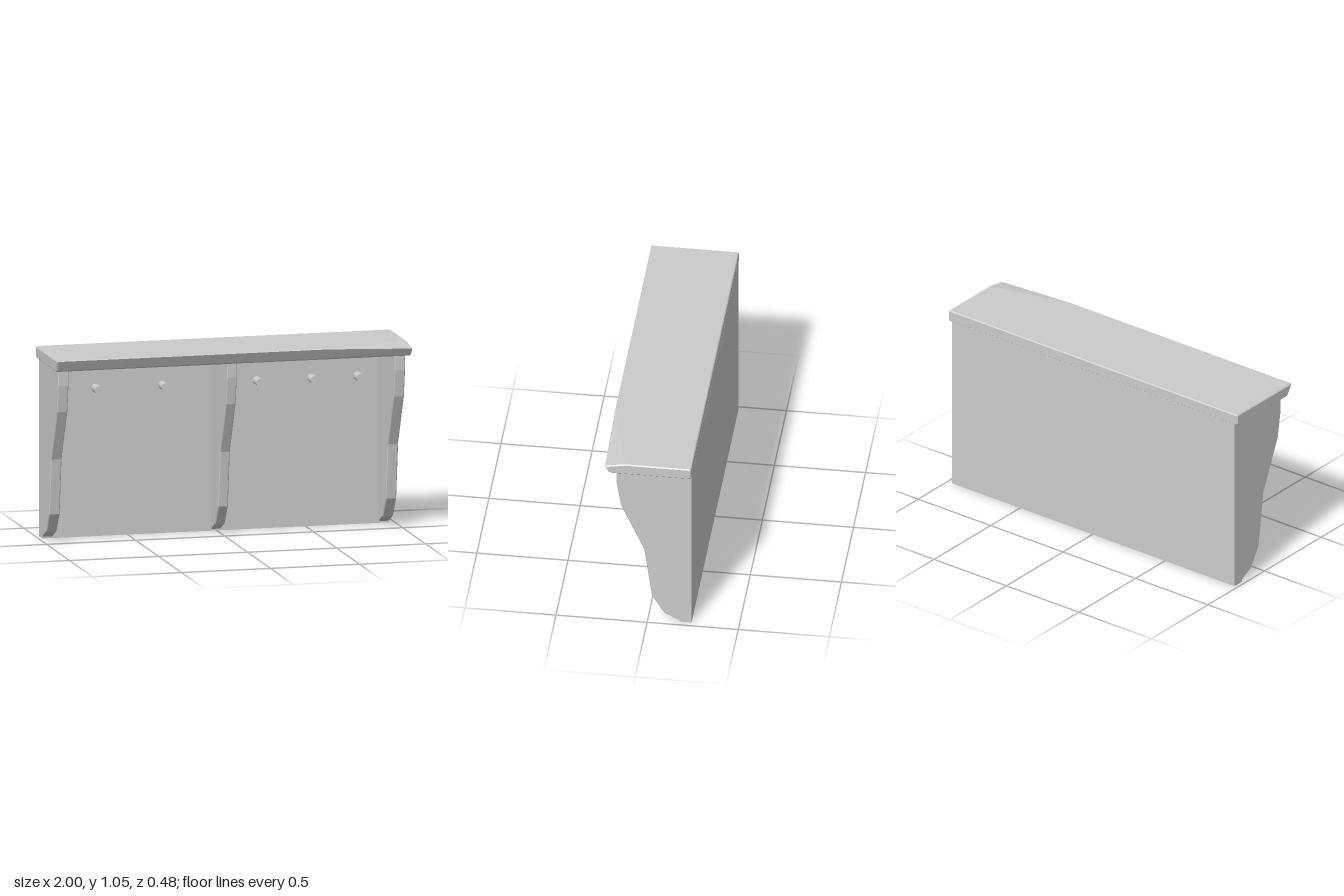
import * as THREE from 'three';

const material = new THREE.MeshStandardMaterial({ color: 0xcccccc, flatShading: true });

function addMesh(group, name, geometry, x = 0, y = 0, z = 0) {
  const mesh = new THREE.Mesh(geometry, material);
  mesh.name = name;
  mesh.position.set(x, y, z);
  group.add(mesh);
  return mesh;
}

// Side support: a bevelled extrusion of the stepped profile, given as [z, y]
function bracketGeometry(width) {
  const outline = [
    [-0.182, 0.01], [-0.172, 0.01], [-0.09, 0.05], [-0.022, 0.16], [0.02, 0.47],
    [0.147, 0.755], [0.172, 0.905], [0.172, 0.995], [-0.182, 0.995],
  ];
  const shape = new THREE.Shape(outline.map(([z, y]) => new THREE.Vector2(z, y)));
  const bevel = 0.005;
  const geometry = new THREE.ExtrudeGeometry(shape, {
    depth: width - 2 * bevel, bevelThickness: bevel, bevelSize: bevel,
    bevelOffset: -bevel, bevelSegments: 1,
  });
  geometry.translate(0, 0, -width / 2 + bevel);
  return geometry.rotateY(-Math.PI / 2);
}

// Shelf board: cross-sections along x, with a worn front corner on the left end
function shelfGeometry() {
  const profile = [
    [-0.24, 0.997], [-0.233, 0.99], [0.205, 0.99], [0.212, 0.997],
    [0.24, 1.051], [0.237, 1.055], [0.12, 1.055], [-0.235, 1.055], [-0.24, 1.05],
  ];
  const n = profile.length;
  // Each section: x, end inset, drop of the front top edge
  const sections = [
    [-1, 0.006, 0], [-0.994, 0, 0], [0.52, 0, 0], [0.989, 0, 0.018], [0.995, 0.006, 0.018],
  ];
  const positions = [];
  const index = [];
  for (const [x, inset, drop] of sections) {
    profile.forEach(([z, y], i) => {
      const worn = i === 4 || i === 5;
      const yy = y - (worn ? drop : 0);
      const zz = z - (worn ? drop * 0.45 : 0);
      positions.push(x, yy + (yy < 1.02 ? inset : -inset), zz + (zz < 0 ? inset : i === 6 ? 0 : -inset));
    });
  }
  for (let s = 0; s < sections.length - 1; s++) {
    for (let i = 0; i < n; i++) {
      const a = s * n + i;
      const b = s * n + (i + 1) % n;
      const c = b + n;
      const d = a + n;
      index.push(a, c, b, a, d, c);
    }
  }
  // End caps
  const last = (sections.length - 1) * n;
  const contour = profile.map((_, i) => new THREE.Vector2(positions[(last + i) * 3 + 2], positions[(last + i) * 3 + 1]));
  for (const [a, b, c] of THREE.ShapeUtils.triangulateShape(contour, [])) {
    index.push(a, b, c, last + a, last + c, last + b);
  }
  const geometry = new THREE.BufferGeometry();
  geometry.setAttribute('position', new THREE.Float32BufferAttribute(positions, 3));
  geometry.setIndex(index);
  const flat = geometry.toNonIndexed();
  flat.computeVertexNormals();
  return flat;
}

export function createModel() {
  const model = new THREE.Group();
  model.name = 'wallShelf';

  addMesh(model, 'shelfBoard', shelfGeometry());
  addMesh(model, 'backPanel', new THREE.BoxGeometry(1.95, 0.995, 0.065), -0.005, 0.4975, -0.2075);

  // Three supports: centre x and width
  const supports = [
    ['rightBracket', -0.95, 0.06],
    ['middleBracket', -0.003, 0.056],
    ['leftBracket', 0.94, 0.06],
  ];
  for (const [name, x, width] of supports) addMesh(model, name, bracketGeometry(width), x);

  // Coat pegs projecting from the back panel
  const pegs = new THREE.Group();
  pegs.name = 'pegs';
  const pegGeometry = new THREE.CylinderGeometry(0.023, 0.023, 0.09, 16).rotateX(Math.PI / 2);
  for (const x of [-0.68, -0.306, 0.226, 0.531, 0.79]) addMesh(pegs, 'peg', pegGeometry, x, 0.82, -0.14);
  model.add(pegs);

  return model;
}
